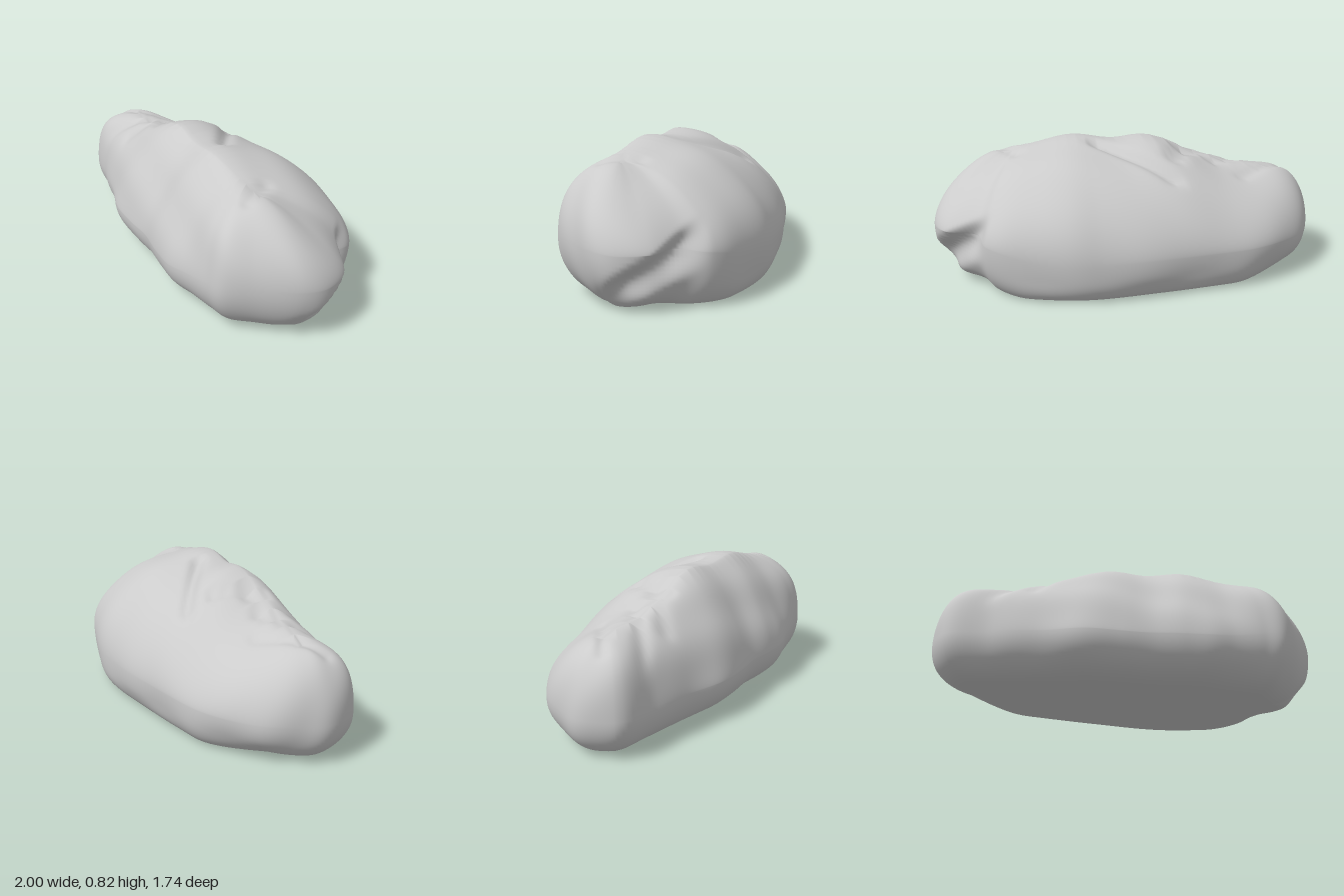
import * as THREE from 'three';
import { mergeVertices } from 'three/addons/utils/BufferGeometryUtils.js';

// Widest outline seen from above: x, z, and how full the shoulder above it is.
const OUTLINE = [
  [-1, -.52, 2.4], [-.95, -.69, 2.3], [-.82, -.8, 2], [-.56, -.87, 1.75], [-.25, -.83, 1.6], [0, -.71, 1.6],
  [.3, -.54, 1.7], [.56, -.38, 1.85], [.7, -.26, 1.95], [.88, -.03, 1.9], [.96, .15, 1.65], [.955, .3, 1.45],
  [1, .5, 1.4], [.97, .66, 1.55], [.85, .77, 1.8], [.6, .835, 2.1], [.43, .87, 2.1], [.3, .8, 1.9],
  [.15, .69, 1.65], [0, .61, 1.45], [-.1, .52, 1.4], [-.22, .39, 1.35], [-.38, .28, 1.35],
  [-.55, .12, 1.4], [-.7, -.1, 1.6], [-.85, -.3, 2],
];
// Crest of the loaf: x, y, z.
const CREST = [[-.72, .6, -.56], [-.45, .68, -.28], [-.17, .82, -.03], [-.01, .8, .13], [.16, .82, .29], [.34, .78, .42], [.52, .73, .53]];
// Creases in the crust: x1, z1, x2, z2, width, depth.
const CREASES = [
  [.02, -.4, .17, .1, .04, .035], [-.1, -.3, -.36, -.17, .04, .035], [-.4, -.36, -.85, -.36, .045, .025],
  [-.45, -.55, -.85, -.58, .035, .015], [.48, .62, .52, .42, .04, .015], [-.3, -.25, -.6, -.22, .045, .02],
];

const v3 = ([x, y, z]) => new THREE.Vector3(x, y, z);
const { smoothstep: smooth, clamp } = THREE.MathUtils;

function creaseDepth(x, z) {
  let sum = 0;
  for (const [x1, z1, x2, z2, width, depth] of CREASES) {
    const dx = x2 - x1, dz = z2 - z1;
    const t = clamp(((x - x1) * dx + (z - z1) * dz) / (dx * dx + dz * dz), 0, 1);
    const d = Math.hypot(x - x1 - t * dx, z - z1 - t * dz);
    sum += depth * Math.exp(-((d / width) ** 2));
  }
  return sum;
}

// Gentle irregular lumps
const lumps = (x, y, z) =>
  .007 * Math.sin(9 * x + 4 * z + 1) * Math.sin(8 * z - 5 * y) + .004 * Math.sin(17 * x - 13 * z + 9 * y);

function loafGeometry() {
  const sides = 220, baseRows = 6, sideRows = 22, topRows = 44, rows = baseRows + sideRows + topRows;
  const outline = new THREE.CatmullRomCurve3(OUTLINE.map(([x, z, p]) => new THREE.Vector3(x, p, z)), true);
  const crest = new THREE.CatmullRomCurve3(CREST.map(v3));
  const axis = new THREE.Vector3(.76, 0, .65);
  const s0 = v3(CREST[0]).dot(axis), s1 = v3(CREST[CREST.length - 1]).dot(axis);
  const crestSteps = 24, core = new THREE.Vector3();
  const positions = [], index = [];

  for (let i = 0; i < sides; i++) {
    const edge = outline.getPoint(i / sides), power = edge.y;
    const along = edge.x * axis.x + edge.z * axis.z;
    const u = ((along - s0) / (s1 - s0) - .54) / .78;
    const t = .5 + .5 * Math.sin(clamp(u, -1, 1) * Math.PI / 2);
    const free = crest.getPoint(t);
    // columns from both flanks meet in shared points on the crest
    const shared = crest.getPoint(Math.round(t * crestSteps) / crestSteps);
    const reach = Math.hypot(edge.x - free.x, edge.z - free.z);
    const front = smooth(edge.z - edge.x, -.3, .4), end = smooth(Math.abs(along), .6, 1.05);
    const foot = 1 - Math.min(.72, (.11 + .16 * front + .17 * end) / reach);
    const rim = .24 + .1 * smooth(along, .4, 1.05);

    for (let j = 0; j <= rows; j++) {
      let r, y;
      if (j <= baseRows) {                       // flat underside
        r = foot * j / baseRows; y = 0;
      } else if (j <= baseRows + sideRows) {     // rounded lower wall
        const a = (j - baseRows) / sideRows * Math.PI / 2;
        r = foot + (1 - foot) * Math.sin(a); y = rim * (1 - Math.cos(a));
      } else {                                   // domed crust
        const a = (j - baseRows - sideRows) / topRows * Math.PI / 2;
        r = j === rows ? 0 : Math.cos(a);
        y = (1 - r ** power) ** (1 / power);
      }
      core.lerpVectors(shared, free, Math.min(1, r * 3));
      if (j > baseRows + sideRows) y = rim + (core.y - rim) * y;
      let x = core.x + (edge.x - core.x) * r, z = core.z + (edge.z - core.z) * r;
      if (j > baseRows) {
        const n = lumps(x, y, z) * smooth(y, 0, .15);
        x += n * r * (edge.x - core.x) / reach;
        z += n * r * (edge.z - core.z) / reach;
        y += n * .8 * smooth(y, .1, .4) - creaseDepth(x, z) * smooth(y, .35, .55);
        // slanted groove under a lip at one end
        const below = .2 + (.68 - z) * .56 - y;
        const groove = smooth(below, -.05, .06) * (1 - smooth(below, .07, .24));
        x -= .08 * groove * smooth(z, .16, .4) * (1 - smooth(z, .58, .78)) * smooth(x, .65, .85);
      }
      positions.push(x, y, z);
    }
  }
  for (let i = 0; i < sides; i++) {
    for (let j = 0; j < rows; j++) {
      const a = i * (rows + 1) + j, d = ((i + 1) % sides) * (rows + 1) + j;
      index.push(a, a + 1, d + 1, a, d + 1, d);
    }
  }
  const geometry = new THREE.BufferGeometry();
  geometry.setAttribute('position', new THREE.Float32BufferAttribute(positions, 3));
  geometry.setIndex(index);
  const merged = mergeVertices(geometry, 1e-4);
  merged.computeVertexNormals();
  return merged;
}

export function createModel() {
  const group = new THREE.Group();
  group.name = 'loaf';
  const crust = new THREE.Mesh(loafGeometry(),
    new THREE.MeshStandardMaterial({ color: 0xcccccc, side: THREE.DoubleSide }));
  crust.name = 'crust';
  group.add(crust);
  return group;
}
